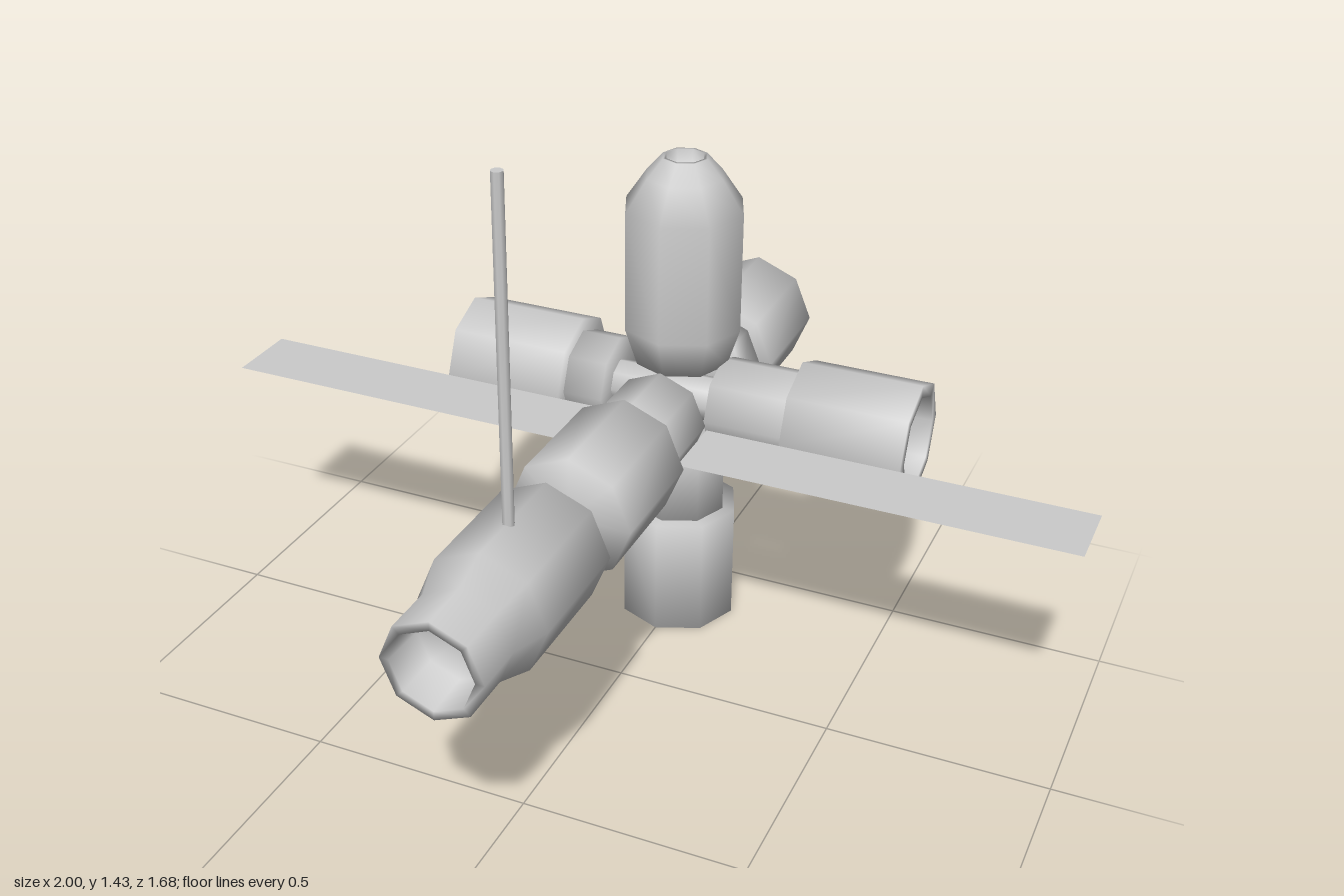
import * as THREE from 'three';

const material = new THREE.MeshStandardMaterial({ color: 0xcccccc });
const thin = new THREE.MeshStandardMaterial({ color: 0xcccccc, side: THREE.DoubleSide });
const HUB = new THREE.Vector3(0, 0.57, -0.34);
const UP = new THREE.Vector3(0, 1, 0);
const R = 0.14, NECK = 0.11, PIPE = 0.053;

// Octagonal turned part; profile pairs are [radius, distance from hub]
function turned(name, profile) {
  const points = profile.map(([r, d]) => new THREE.Vector2(r, d));
  const mesh = new THREE.Mesh(new THREE.LatheGeometry(points, 8), material);
  mesh.name = name;
  return mesh;
}

const closed = (r, from, to) => [[0, from], [r, from], [r, to], [0, to]];

// Adds a recessed port to the end of a profile
const port = (profile, inner, end, depth) =>
  [...profile, [inner, end], [inner * 0.95, end - depth], [0, end - depth]];

const hollow = (from, to) => port([[0, from], [R, from], [R, to]], NECK, to, 0.1);

// Groups parts on an arm that leaves the hub in a given direction
function arm(name, direction, parts) {
  const group = new THREE.Group();
  group.name = name;
  group.position.copy(HUB);
  group.quaternion.setFromUnitVectors(UP, new THREE.Vector3(...direction));
  for (const [partName, profile] of parts) group.add(turned(partName, profile));
  return group;
}

export function createModel() {
  const model = new THREE.Group();
  model.name = 'spaceStation';

  // Front arm: two modules in line, the outer one tapered
  model.add(arm('frontArm', [0, 0, 1], [
    ['frontNeck', closed(NECK, 0.125, 0.33)],
    ['frontModule', closed(R, 0.323, 0.603)],
    ['connectingPipe', closed(PIPE, 0.59, 0.715)],
    ['noseModule', port([[0, 0.703], [R, 0.703], [R, 0.983], [NECK, 1.065], [NECK, 1.18]], 0.09, 1.18, 0.1)],
  ]));

  model.add(arm('backArm', [0, 0, -1], [
    ['backNeck', closed(NECK, 0.125, 0.225)],
    ['backModule', closed(R, 0.22, 0.5)],
  ]));

  model.add(arm('leftArm', [1, 0, 0], [
    ['leftNeck', closed(NECK, 0.1, 0.3)],
    ['leftModule', hollow(0.29, 0.567)],
  ]));

  model.add(arm('rightArm', [-1, 0, 0], [
    ['rightPipe', closed(PIPE, -0.105, 0.16)],
    ['rightNeck', closed(NECK, 0.155, 0.255)],
    ['rightModule', hollow(0.25, 0.535)],
  ]));

  model.add(arm('lowerArm', [0, -1, 0], [
    ['lowerNeck', closed(NECK, 0.09, 0.29)],
    ['lowerModule', closed(R, 0.285, 0.57)],
  ]));

  // Upper module with a domed top and small port
  model.add(arm('upperArm', [0, 1, 0], [
    ['upperModule', port([[0, 0.095], [NECK, 0.095], [R, 0.187], [R, 0.466], [0.09, 0.54], [0.052, 0.583]], 0.045, 0.583, 0.03)],
  ]));

  // Antenna mast on the nose module
  const mast = new THREE.Mesh(new THREE.CylinderGeometry(0.0125, 0.0125, 0.75, 8), material);
  mast.name = 'antennaMast';
  mast.position.set(0, 1.053, 0.525);
  model.add(mast);

  // Flat solar panels on both sides
  for (const side of [1, -1]) {
    const panel = new THREE.Mesh(new THREE.PlaneGeometry(0.88, 0.17), thin);
    panel.name = side > 0 ? 'leftSolarPanel' : 'rightSolarPanel';
    panel.rotation.x = -Math.PI / 2;
    panel.position.set(side * 0.56, HUB.y, -0.113);
    model.add(panel);
  }

  return model;
}
